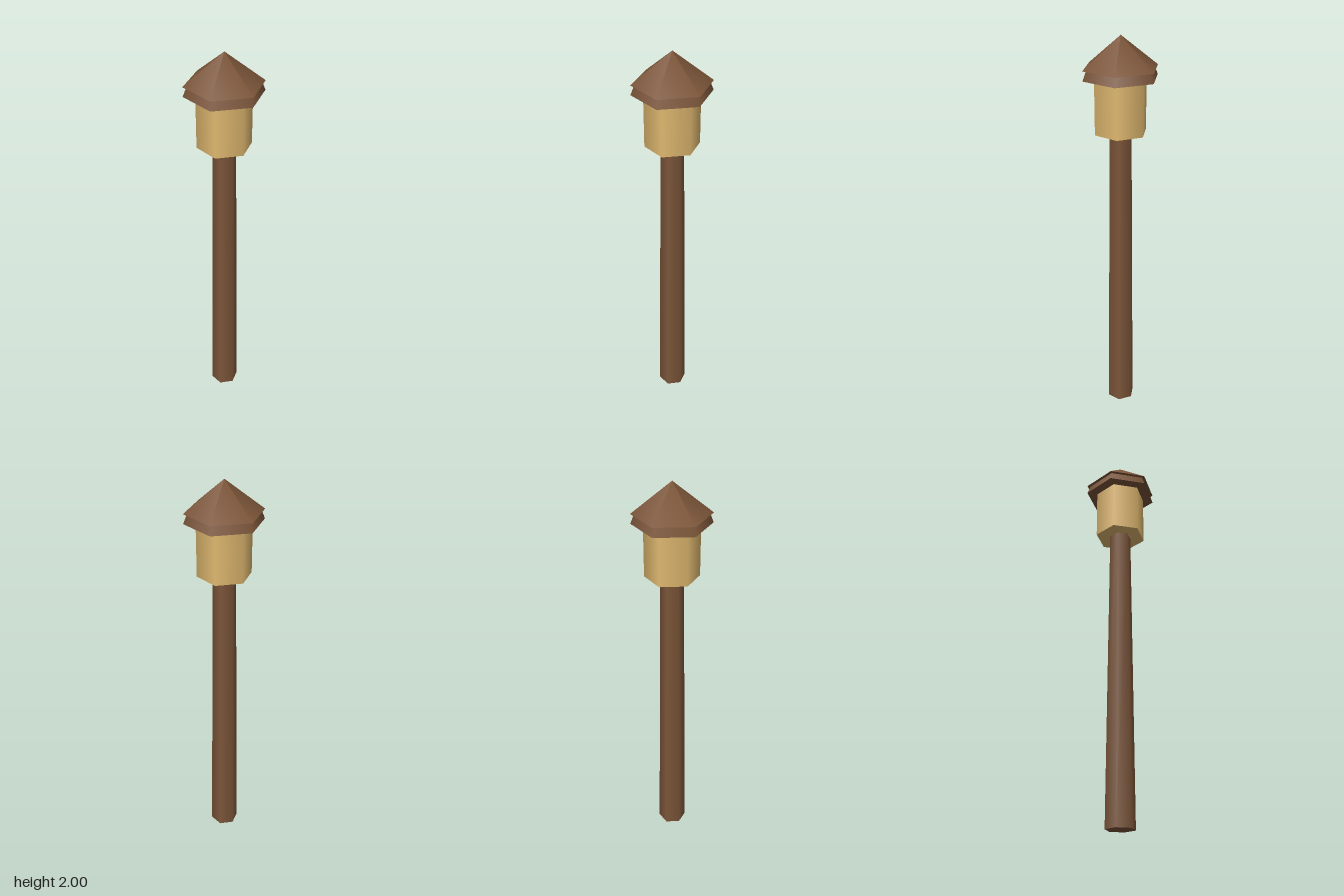
import * as THREE from 'three';

export function createModel() {
  const model = new THREE.Group();
  model.name = 'lampPost';

  const wood = new THREE.MeshStandardMaterial({ color: 0x7b5539 });
  wood.name = 'brown wood';
  const glow = new THREE.MeshStandardMaterial({ color: 0xdfb86f });
  glow.name = 'warm lantern';

  // Smooth-shaded six-sided section standing between two heights
  function hexPart(name, material, topRadius, bottomRadius, y0, y1) {
    const geometry = new THREE.CylinderGeometry(topRadius, bottomRadius, y1 - y0, 6);
    const mesh = new THREE.Mesh(geometry, material);
    mesh.name = name;
    mesh.position.y = (y0 + y1) / 2;
    model.add(mesh);
  }

  // Tapered post and lantern body
  hexPart('post', wood, 0.056, 0.073, 0, 1.55);
  hexPart('lantern', glow, 0.131, 0.131, 1.545, 1.81);

  // Two-tier roof: flared eave below a pointed cap
  hexPart('roofEave', wood, 0.168, 0.187, 1.806, 1.854);
  hexPart('roofCap', wood, 0, 0.187, 1.852, 2);

  return model;
}
